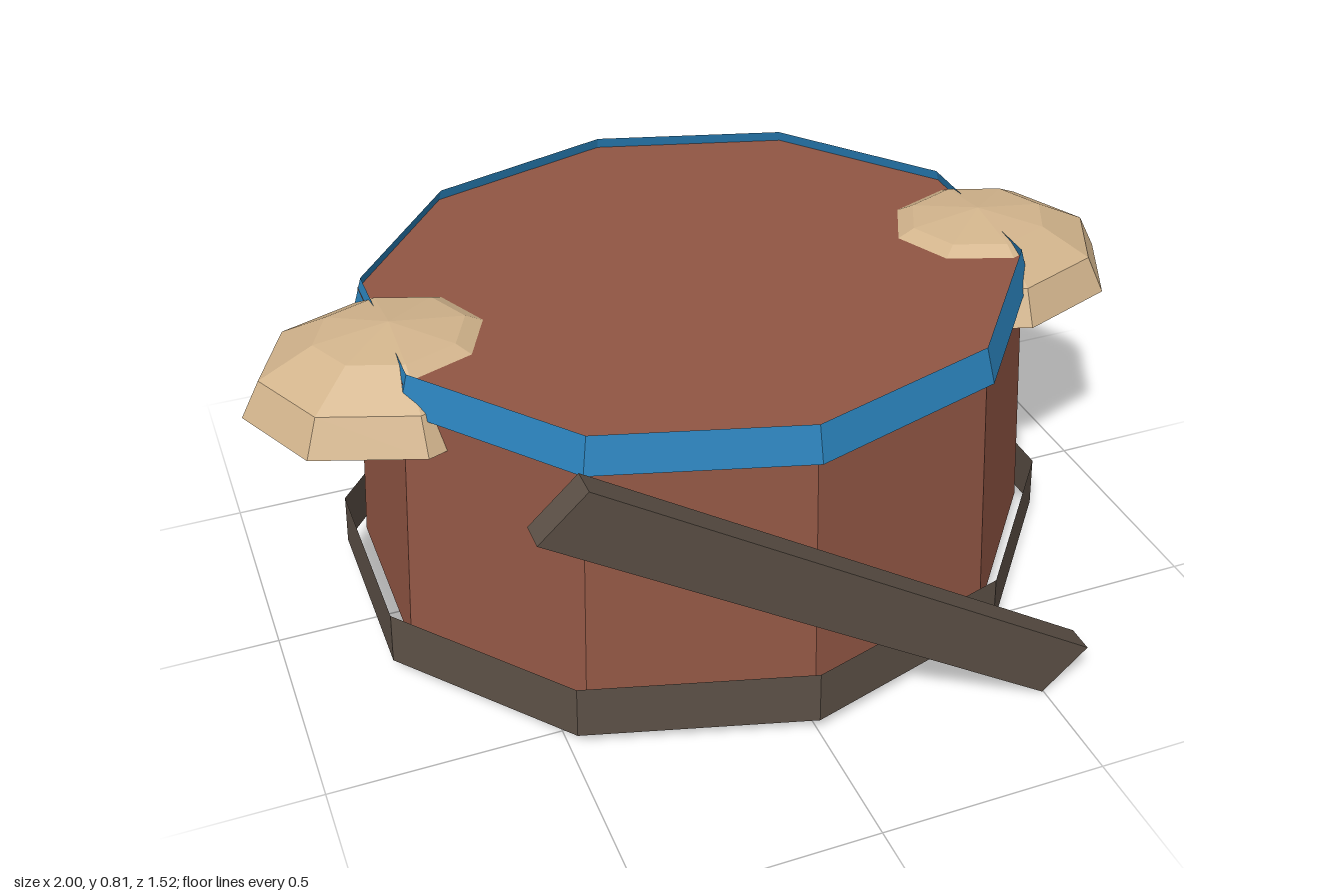
import * as THREE from 'three';

const flat = (name, color) => {
  const m = new THREE.MeshStandardMaterial({ color, flatShading: true, side: THREE.DoubleSide });
  m.name = name;
  return m;
};

export function createModel() {
  const brown = flat('russet brown', 0x915644);
  const grey = flat('dark leather grey', 0x5b4f45);
  const blue = flat('collar blue', 0x2980b9);
  const tan = flat('tan', 0xd2b48c);

  const model = new THREE.Group();
  model.name = 'torso';

  const add = (name, geometry, material) => {
    const mesh = new THREE.Mesh(geometry, material);
    mesh.name = name;
    model.add(mesh);
    return mesh;
  };

  // Ten-sided tapered oval ring or drum between two heights
  const drum = (name, material, y0, y1, rz0, rz1, widen, z, open) => {
    const g = new THREE.CylinderGeometry(rz1, rz0, y1 - y0, 10, 1, open);
    g.scale(widen, 1, 1);
    g.translate(0, (y0 + y1) / 2, z);
    return add(name, g, material);
  };

  drum('body', brown, 0.07, 0.72, 0.697, 0.657, 1.117, -0.023, false);
  drum('belt', grey, 0.035, 0.157, 0.73, 0.725, 1.13, -0.03, true);
  drum('collarBand', blue, 0.665, 0.745, 0.678, 0.657, 1.105, -0.018, true);

  // Faceted shoulder domes, open underneath
  for (const [name, side] of [['leftShoulder', 1], ['rightShoulder', -1]]) {
    const dome = new THREE.SphereGeometry(1, 8, 3, 0, Math.PI * 2, 0, Math.PI / 2);
    dome.scale(0.32, 0.16, 0.28);
    add(name, dome, tan).position.set(0.68 * side, 0.6, 0);
  }

  // Slanted strap across the front
  const strap = new THREE.Shape([
    new THREE.Vector2(-0.6, 0.712),
    new THREE.Vector2(0.497, 0),
    new THREE.Vector2(0.597, 0.093),
    new THREE.Vector2(-0.5, 0.805),
  ]);
  add('strap', new THREE.ExtrudeGeometry(strap, { depth: 0.06, bevelEnabled: false }), grey).position.z = 0.7;

  return model;
}
